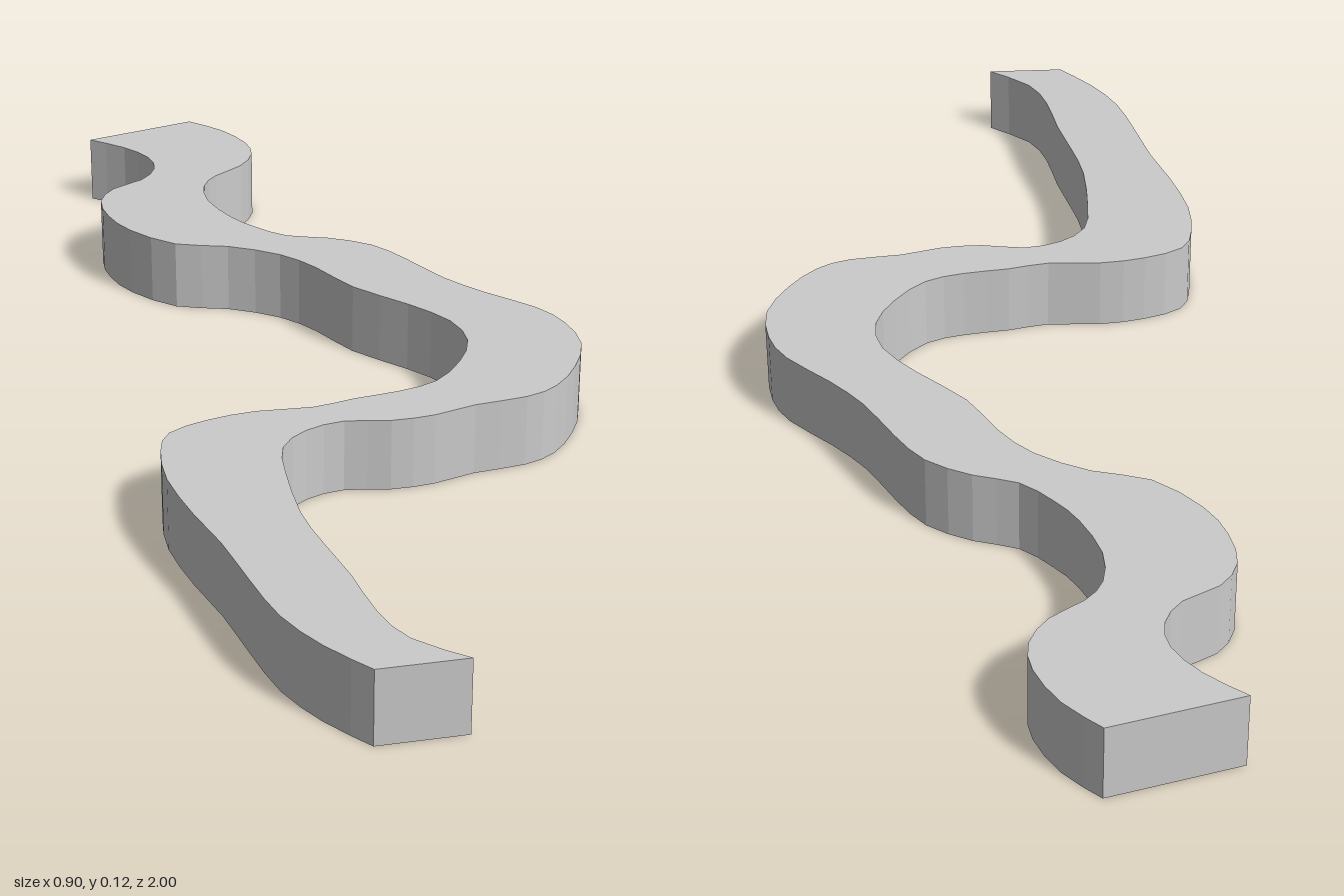
import * as THREE from 'three';

const HEIGHT = 0.125;

// Bank outlines as [x, z], running from the back end to the front end
const rightBank = [
  [-0.45, -0.9], [-0.38, -0.86], [-0.33, -0.81], [-0.315, -0.755], [-0.335, -0.7], [-0.385, -0.655],
  [-0.405, -0.595], [-0.385, -0.525], [-0.34, -0.46], [-0.255, -0.4], [-0.16, -0.39], [-0.065, -0.355],
  [0, -0.3], [0.065, -0.22], [0.16, -0.15], [0.23, -0.085], [0.257, -0.01], [0.24, 0.07],
  [0.2, 0.14], [0.14, 0.177], [0.065, 0.205], [0, 0.235], [-0.09, 0.25], [-0.165, 0.28],
  [-0.225, 0.325], [-0.235, 0.385], [-0.22, 0.475], [-0.175, 0.58], [-0.13, 0.665], [-0.085, 0.77],
  [-0.04, 0.865], [0.02, 0.94], [0.09, 1],
];
const leftBank = [
  [-0.26, -1], [-0.195, -0.955], [-0.145, -0.89], [-0.13, -0.83], [-0.15, -0.77], [-0.195, -0.72],
  [-0.215, -0.67], [-0.205, -0.6], [-0.16, -0.525], [-0.115, -0.48], [-0.055, -0.44], [0.02, -0.43],
  [0.1, -0.4], [0.16, -0.34], [0.225, -0.26], [0.295, -0.2], [0.38, -0.14], [0.425, -0.08],
  [0.447, 0], [0.43, 0.085], [0.395, 0.155], [0.345, 0.195], [0.26, 0.225], [0.195, 0.26],
  [0.125, 0.28], [0.05, 0.283], [-0.01, 0.315], [-0.045, 0.37], [-0.04, 0.45], [-0.015, 0.575],
  [0.02, 0.665], [0.06, 0.755], [0.095, 0.85], [0.14, 0.92], [0.225, 0.97],
];

// Smooth curve through a bank, in the shape plane (y = -z)
function bankCurve(points) {
  const curve = new THREE.SplineCurve(points.map(([x, z]) => new THREE.Vector2(x, -z)));
  return curve.getPoints((points.length - 1) * 2);
}

export function createModel() {
  const group = new THREE.Group();
  group.name = 'windingRiver';

  // Flat winding slab: down one bank, across the straight end, back up the other
  const outline = new THREE.Shape([...bankCurve(rightBank), ...bankCurve(leftBank).reverse()]);
  const geometry = new THREE.ExtrudeGeometry(outline, { depth: HEIGHT, bevelEnabled: false });
  geometry.rotateX(-Math.PI / 2);

  const river = new THREE.Mesh(geometry, new THREE.MeshStandardMaterial({ color: 0xcccccc }));
  river.name = 'riverBed';
  group.add(river);
  return group;
}
